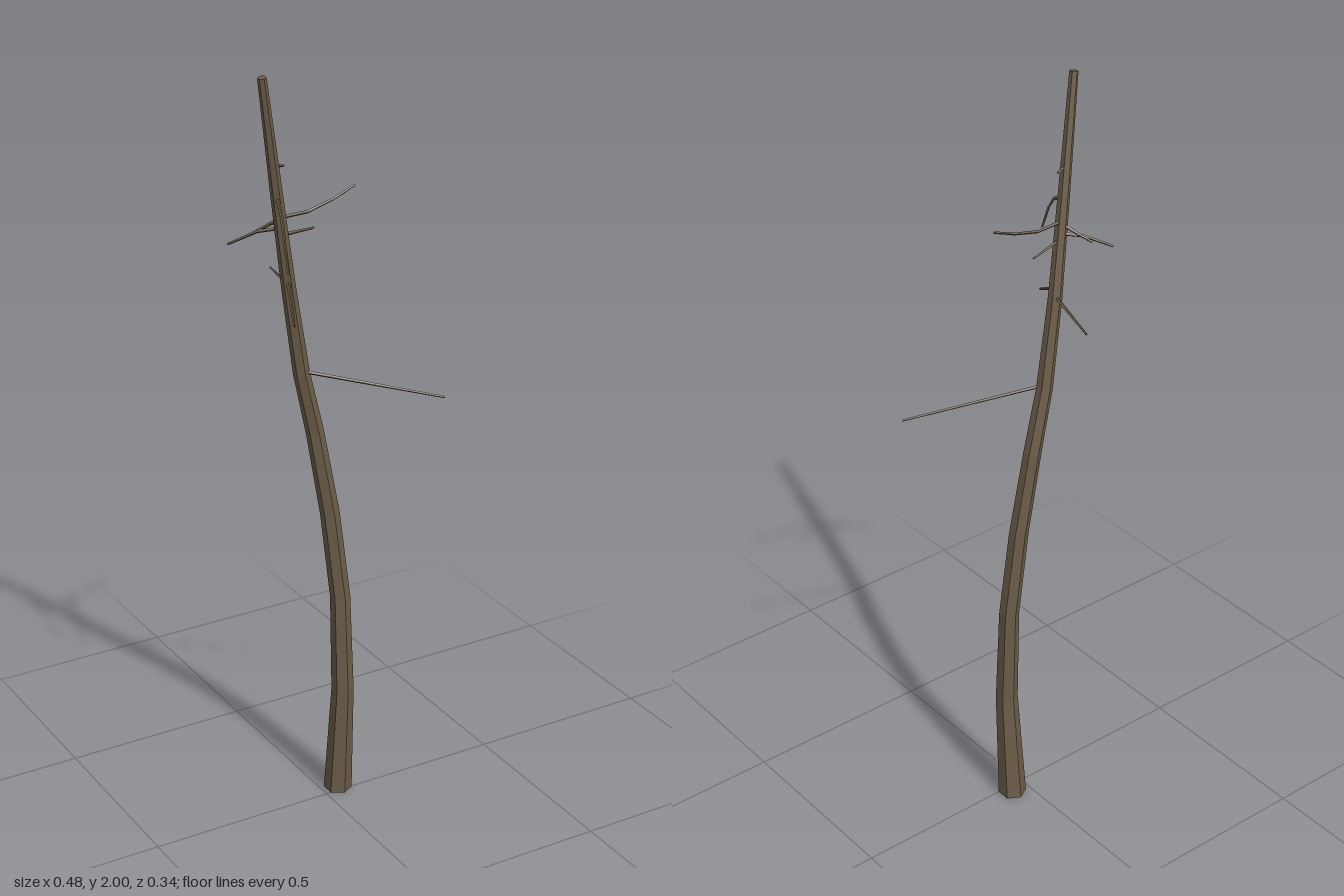
import * as THREE from 'three';

const bark = new THREE.MeshStandardMaterial({ color: 0x6b5c48, flatShading: true });
bark.name = 'bark';

// Faceted limb through rings [x, y, z, radius], with closed ends
function limb(name, rings, sides, ref) {
  const pts = rings.map(r => new THREE.Vector3(r[0], r[1], r[2]));
  const pos = [], index = [], last = rings.length - 1;
  pts.forEach((p, i) => {
    const t = pts[Math.min(i + 1, last)].clone().sub(pts[Math.max(i - 1, 0)]).normalize();
    const u = ref.clone().addScaledVector(t, -ref.dot(t)).normalize();
    const v = t.clone().cross(u);
    for (let j = 0; j < sides; j++) {
      const a = j / sides * Math.PI * 2;
      const q = p.clone().addScaledVector(u, Math.cos(a) * rings[i][3])
        .addScaledVector(v, Math.sin(a) * rings[i][3]);
      // keep the foot of the limb flat on the ground
      pos.push(q.x, p.y === 0 ? 0 : q.y, q.z);
    }
  });
  for (let i = 0; i < last; i++) {
    for (let j = 0; j < sides; j++) {
      const k = (j + 1) % sides;
      const a = i * sides + j, b = i * sides + k, c = b + sides, d = a + sides;
      index.push(a, b, c, a, c, d);
    }
  }
  for (let j = 1; j < sides - 1; j++) {
    const e = last * sides;
    index.push(0, j + 1, j, e, e + j, e + j + 1);
  }
  const indexed = new THREE.BufferGeometry();
  indexed.setAttribute('position', new THREE.Float32BufferAttribute(pos, 3));
  indexed.setIndex(index);
  const geo = indexed.toNonIndexed();
  geo.computeVertexNormals();
  const mesh = new THREE.Mesh(geo, bark);
  mesh.name = name;
  return mesh;
}

export function createModel() {
  const tree = new THREE.Group();
  tree.name = 'bareTree';

  // Leaning six-sided trunk
  tree.add(limb('trunk', [
    [0.045, 0, -0.018, 0.037],
    [0.047, 0.31, 0.002, 0.029],
    [0.042, 0.58, -0.003, 0.026],
    [0.015, 0.82, -0.009, 0.025],
    [-0.025, 1.05, -0.014, 0.023],
    [-0.065, 1.22, -0.011, 0.021],
    [-0.105, 1.45, 0.0, 0.018],
    [-0.15, 1.7, 0.025, 0.015],
    [-0.203, 1.997, 0.056, 0.011],
  ], 6, new THREE.Vector3(0, 0, 1)));

  // Thin dead branches, each a path from the trunk to its tip
  const branches = {
    longLowBranch: [[-0.065, 1.225, -0.008], [0.238, 1.156, 0.168]],
    risingBranch: [[-0.137, 1.64, 0.018], [-0.06, 1.64, 0.013], [0.01, 1.658, 0.01], [0.074, 1.683, 0.008]],
    droopingBranch: [[-0.15, 1.695, 0.028], [-0.17, 1.665, 0.085], [-0.186, 1.62, 0.125], [-0.193, 1.553, 0.157]],
    leftBackBranch: [[-0.132, 1.612, 0.013], [-0.18, 1.602, -0.018], [-0.24, 1.57, -0.055]],
    shortBackBranch: [[-0.137, 1.635, 0.013], [-0.165, 1.61, -0.015], [-0.19, 1.59, -0.036]],
    shortSideBranch: [[-0.13, 1.595, 0.015], [-0.03, 1.588, -0.01]],
    frontBranch: [[-0.11, 1.475, 0.004], [-0.16, 1.405, 0.124]],
    backBranch: [[-0.105, 1.457, 0.0], [-0.06, 1.442, -0.172]],
    upperStub: [[-0.163, 1.775, 0.034], [-0.13, 1.768, 0.024]],
  };
  const up = new THREE.Vector3(0, 1, 0);
  for (const [name, path] of Object.entries(branches)) {
    const rings = path.map((p, i) => [...p, 0.0048 - 0.0018 * i / (path.length - 1)]);
    tree.add(limb(name, rings, 4, up));
  }
  return tree;
}
